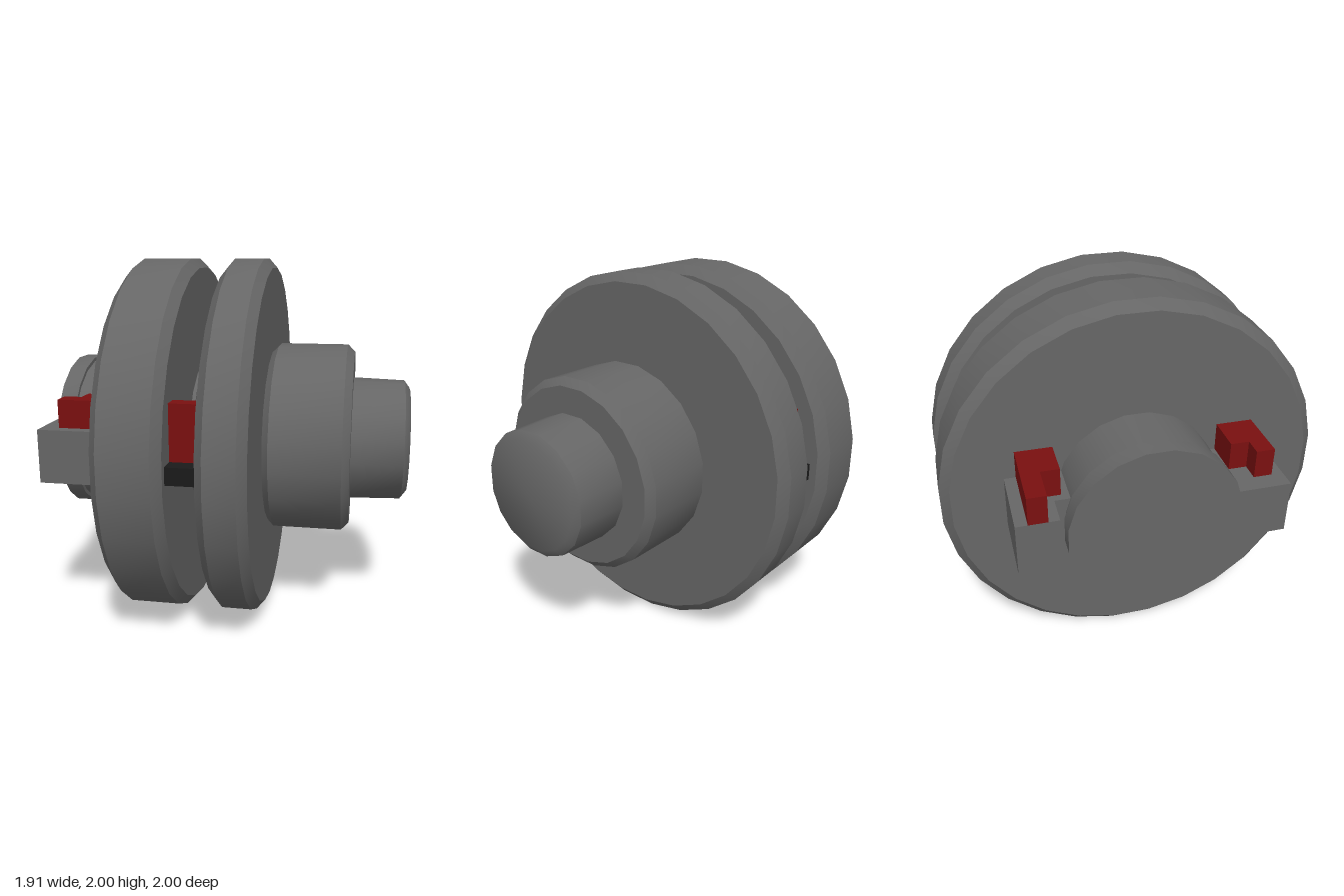
import * as THREE from 'three';
import { toCreasedNormals } from 'three/addons/utils/BufferGeometryUtils.js';

const material = (color) => new THREE.MeshStandardMaterial({ color, roughness: 0.8 });

export function createModel() {
  const model = new THREE.Group();
  const grey = material(0x666666);
  const black = material(0x1a1a1a);
  const red = material(0x7a1010);

  // Turned part along x at y = 1; profile is [x, radius to the flats]
  function turned(name, sides, profile, crease = 0.6) {
    const k = 1 / Math.cos(Math.PI / sides);
    const points = profile.map(([x, r]) => new THREE.Vector2(r * k, x));
    const lathe = new THREE.LatheGeometry(points, sides, Math.PI / sides);
    lathe.rotateZ(-Math.PI / 2);
    const mesh = new THREE.Mesh(toCreasedNormals(lathe, crease), grey);
    mesh.name = name;
    mesh.position.y = 1;
    model.add(mesh);
  }

  // Block given by its x, y and z limits
  function block(name, mat, [x0, x1], [y0, y1], [z0, z1]) {
    const mesh = new THREE.Mesh(new THREE.BoxGeometry(x1 - x0, y1 - y0, z1 - z0), mat);
    mesh.name = name;
    mesh.position.set((x0 + x1) / 2, (y0 + y1) / 2, (z0 + z1) / 2);
    model.add(mesh);
  }

  // Outline in x and z, raised from y0 to y1
  function plate(name, mat, outline, y0, y1) {
    const shape = new THREE.Shape(outline.map(([x, z]) => new THREE.Vector2(x, -z)));
    const geometry = new THREE.ExtrudeGeometry(shape, { depth: y1 - y0, bevelEnabled: false });
    geometry.rotateX(-Math.PI / 2);
    const mesh = new THREE.Mesh(geometry, mat);
    mesh.name = name;
    mesh.position.y = y0;
    model.add(mesh);
  }

  // Chamfered discs
  const disc = (a, b) => [[a, 0], [a, 0.95], [a + 0.045, 1], [b - 0.045, 1], [b, 0.95], [b, 0]];
  turned('wideDisc', 28, disc(-0.575, -0.22));
  turned('narrowDisc', 28, disc(-0.065, 0.185));

  // Shaft with end flange, hub and nose
  turned('shaft', 20, [[-0.96, 0], [-0.96, 0.435], [-0.865, 0.435], [-0.865, 0.415],
    [-0.2, 0.415], [-0.2, 0.405], [0, 0.405], [0, 0]]);
  turned('hub', 20, [[0.185, 0], [0.185, 0.49], [0.22, 0.525], [0.6, 0.525], [0.64, 0.485], [0.64, 0]]);
  turned('nose', 16, [[0.62, 0], [0.62, 0.34], [0.92, 0.33], [0.95, 0.29], [0.955, 0]], 0.75);

  // Bar in the gap between the discs, with a red sight at each end
  block('gapBar', black, [-0.22, -0.065], [0.95, 1.04], [-0.91, 0.91]);
  for (const s of [-1, 1]) {
    block('gapSight', red, [-0.22, -0.065], [1.04, 1.33], [s * 0.77 - 0.045, s * 0.77 + 0.045]);
  }

  // Side lugs; the rear one is notched beside the flange
  block('frontLug', grey, [-0.96, -0.57], [0.855, 1.14], [0.38, 0.68]);
  plate('rearLug', grey, [[-0.96, -0.68], [-0.57, -0.68], [-0.57, -0.38],
    [-0.81, -0.38], [-0.81, -0.47], [-0.96, -0.47]], 0.855, 1.14);

  // L-shaped red keys on the lugs
  for (const [name, s, end] of [['frontKey', 1, -0.865], ['rearKey', -1, -0.96]]) {
    plate(name, red, [[end, s * 0.62], [-0.57, s * 0.62], [-0.57, s * 0.43],
      [-0.77, s * 0.43], [-0.77, s * 0.525], [end, s * 0.525]], 1.14, 1.29);
  }
  return model;
}
